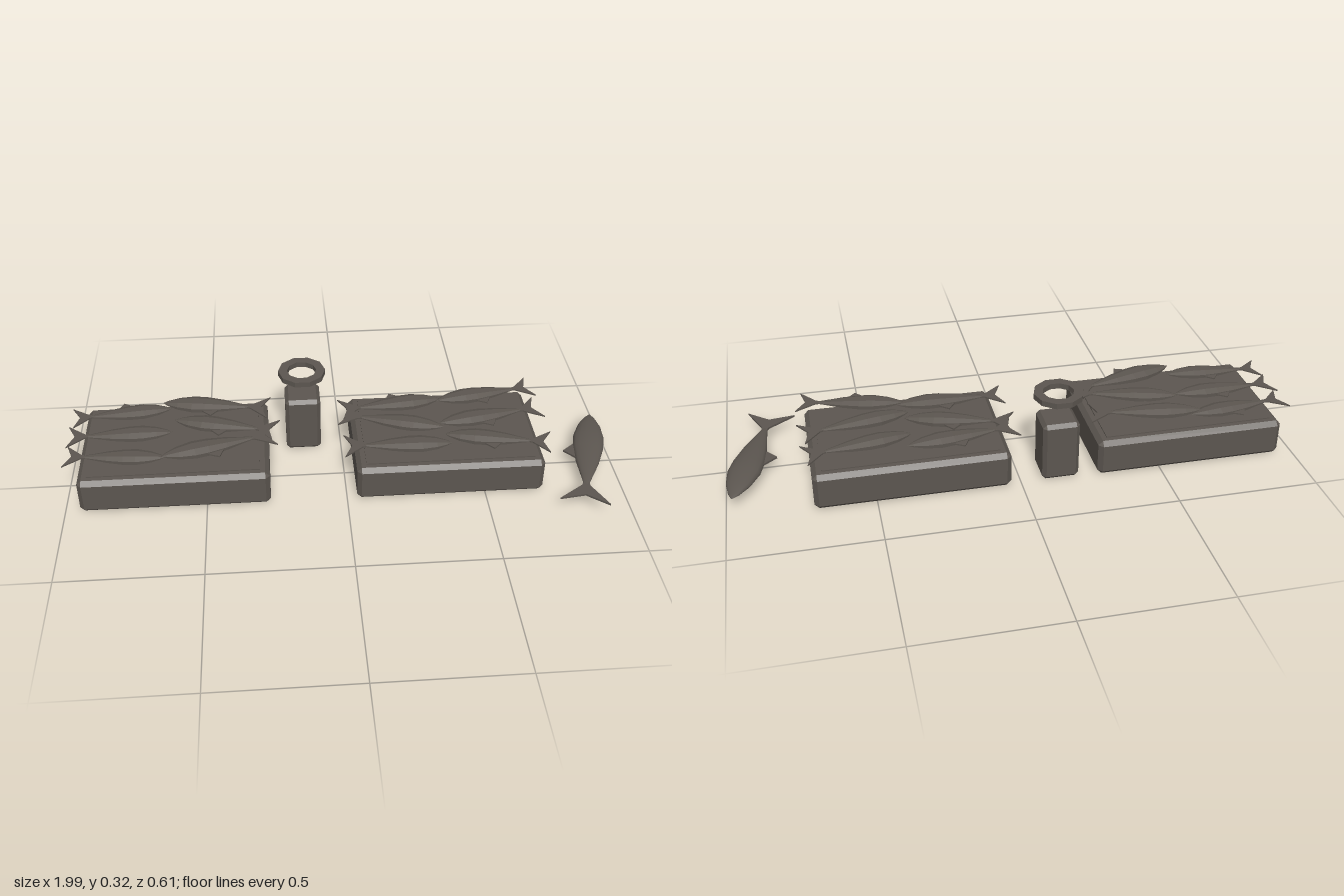
import * as THREE from 'three';
import { ConvexGeometry } from 'three/addons/geometries/ConvexGeometry.js';

const stone = new THREE.MeshStandardMaterial({ color: 0x5c5650 });
stone.name = 'dark warm grey';

function part(name, geometry, x = 0, y = 0, z = 0) {
  const mesh = new THREE.Mesh(geometry, stone);
  mesh.name = name;
  mesh.position.set(x, y, z);
  return mesh;
}

function faceted(geometry) {
  const g = geometry.toNonIndexed();
  g.computeVertexNormals();
  return g;
}

// Box with every edge cut at 45 degrees
function chamferBox(w, h, d, c) {
  const half = [w / 2, h / 2, d / 2];
  const points = [];
  for (const sx of [-1, 1]) for (const sy of [-1, 1]) for (const sz of [-1, 1]) {
    for (let full = 0; full < 3; full++) {
      const p = half.map((v, i) => (i === full ? v : v - c));
      points.push(new THREE.Vector3(p[0] * sx, p[1] * sy, p[2] * sz));
    }
  }
  return new ConvexGeometry(points);
}

// Thin plate lying flat; outline given as x, z pairs
function flatFin(outline) {
  const shape = new THREE.Shape(outline.map(([x, z]) => new THREE.Vector2(x, z)));
  const g = new THREE.ExtrudeGeometry(shape, { depth: 0.007, bevelEnabled: false });
  g.rotateX(Math.PI / 2);
  g.translate(0, 0.0035, 0);
  return g;
}

const BODY = 0.428;
// Distance from nose to tail root, and relative girth
const profile = [[0, 0], [0.06, 0.33], [0.18, 0.73], [0.35, 1], [0.5, 0.97], [0.7, 0.73], [0.88, 0.38], [1, 0.16], [1, 0]];
const tailOutline = [[0.41, -0.008], [0.435, -0.014], [0.522, -0.085], [0.485, 0], [0.522, 0.085], [0.435, 0.014], [0.41, 0.008]];
const dorsalOutline = [[0.19, 0.045], [0.25, 0.088], [0.285, 0.035]];

// Body with a flat facet facing straight up
function bodyGeometry(sides) {
  const g = new THREE.LatheGeometry(profile.map(([t, r]) => new THREE.Vector2(r, t * BODY)), sides);
  g.rotateY(Math.PI / sides);
  g.rotateZ(-Math.PI / 2);
  const fit = 1 / Math.cos(Math.PI / sides);
  g.scale(1, 0.0225 * fit, 0.055 * fit);
  g.computeVertexNormals();
  return g;
}

// Fish lying on its side, from nose position to tail root position
function fish(name, bodyGeo, tailGeo, dorsalGeo, [hx, hz, tx, tz], y) {
  const group = new THREE.Group();
  group.name = name;
  group.add(part('fishBody', bodyGeo), part('tailFin', tailGeo), part('dorsalFin', dorsalGeo));
  group.position.set(hx, y, hz);
  group.rotation.y = Math.atan2(hz - tz, tx - hx);
  group.scale.setScalar(Math.hypot(tx - hx, tz - hz) / BODY);
  return group;
}

export function createModel() {
  const model = new THREE.Group();
  model.name = 'fishStall';

  // Two crates with a slightly raised top panel
  for (const [name, x] of [['rightCrate', -0.61], ['leftCrate', 0.373]]) {
    const crate = new THREE.Group();
    crate.name = name;
    crate.position.set(x, 0, -0.07);
    crate.add(part('crateBody', chamferBox(0.674, 0.133, 0.457, 0.016), 0, 0.0665, 0));
    crate.add(part('cratePanel', new THREE.BoxGeometry(0.606, 0.02, 0.391), 0, 0.127, 0));
    model.add(crate);
  }

  // Post with a ten-sided ring hovering above it
  model.add(part('post', chamferBox(0.13, 0.218, 0.13, 0.013), -0.141, 0.109, -0.222));
  const section = [[0.054, -0.01], [0.087, -0.01], [0.087, 0.01], [0.054, 0.01], [0.054, -0.01]];
  const ring = new THREE.LatheGeometry(section.map(([r, y]) => new THREE.Vector2(r, y)), 10);
  ring.rotateY(Math.PI / 2);
  model.add(part('ring', faceted(ring), -0.141, 0.306, -0.222));

  // Fish on the crates: nose x, z and tail root x, z
  const lowerFish = [
    [-0.63, -0.228, -0.925, -0.196], [-0.62, -0.08, -0.929, -0.075], [-0.637, 0.068, -0.929, 0.046],
    [0.381, -0.218, 0.067, -0.18], [0.37, -0.037, 0.067, -0.121], [0.386, 0.06, 0.067, 0.054],
  ];
  const upperFish = [
    [-0.66, -0.235, -0.339, -0.187], [-0.612, -0.123, -0.31, -0.048], [-0.65, 0.092, -0.328, 0.007],
    [0.36, -0.176, 0.662, -0.229], [0.35, -0.032, 0.662, -0.092], [0.36, 0.036, 0.662, 0.098],
  ];
  const tail = flatFin(tailOutline);
  const dorsal = flatFin(dorsalOutline);
  const lowPoly = faceted(bodyGeometry(8));
  for (const line of lowerFish) model.add(fish('lowerFish', lowPoly, tail, dorsal, line, 0.1645));
  for (const line of upperFish) model.add(fish('upperFish', lowPoly, tail, dorsal, line, 0.186));

  // Larger loose fish beside the left crate
  model.add(fish('looseFish', bodyGeometry(16), tail, dorsal, [0.978, -0.235, 0.857, 0.189], 0.0455));

  return model;
}
